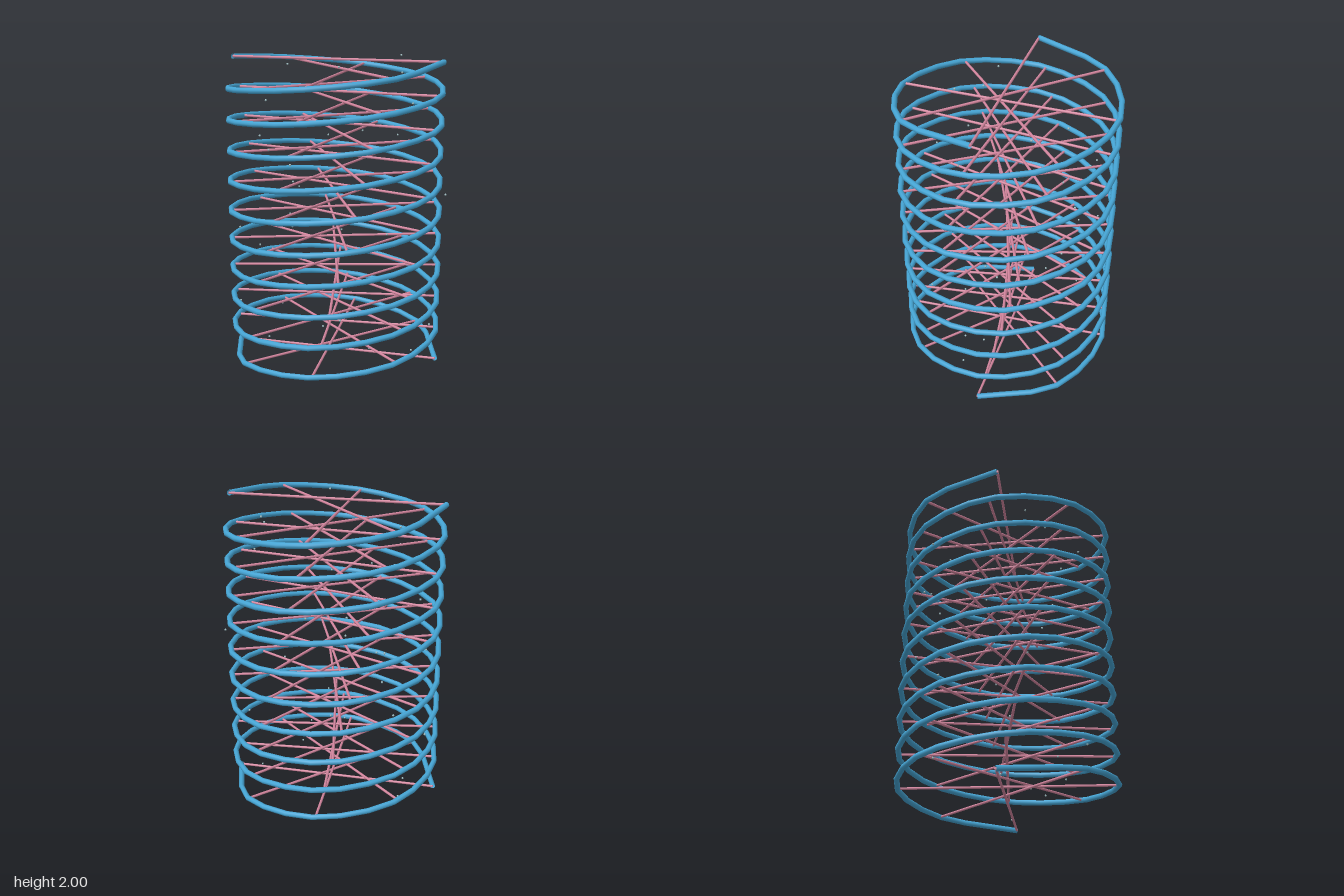
import * as THREE from 'three';

const RADIUS = 0.685, TURNS = 5, RUNGS = 40, BASE = 0.0175, RISE = 1.965;

// Point on a strand: u runs 0..1 up the helix, phase picks the strand
function helixPoint(u, phase) {
  const a = u * TURNS * Math.PI * 2 + phase;
  return new THREE.Vector3(RADIUS * Math.cos(a), BASE + RISE * u, -RADIUS * Math.sin(a));
}

export function createModel() {
  const model = new THREE.Group();
  model.name = 'doubleHelix';

  const strandBlue = new THREE.MeshStandardMaterial({ color: 0x46a6d6, side: THREE.DoubleSide });
  strandBlue.name = 'strandBlue';
  const rungPink = new THREE.MeshStandardMaterial({ color: 0xd4869f });
  rungPink.name = 'rungPink';
  const paleGrey = new THREE.MeshStandardMaterial({ color: 0x9fbcc0 });
  paleGrey.name = 'paleGrey';

  // Two opposite strands
  [0, Math.PI].forEach((phase, i) => {
    const points = [];
    for (let k = 0; k < RUNGS; k++) points.push(helixPoint(k / (RUNGS - 1), phase));
    const curve = new THREE.CatmullRomCurve3(points);
    const strand = new THREE.Mesh(new THREE.TubeGeometry(curve, 120, 0.018, 8), strandBlue);
    strand.name = i ? 'strandB' : 'strandA';
    model.add(strand);
  });

  // Level rungs crossing the axis from strand to strand
  const rungs = new THREE.Group();
  rungs.name = 'rungs';
  const rungGeometry = new THREE.CylinderGeometry(0.0085, 0.0085, RADIUS * 2, 8);
  rungGeometry.rotateZ(Math.PI / 2);
  for (let k = 0; k < RUNGS; k++) {
    const u = k / (RUNGS - 1);
    const rung = new THREE.Mesh(rungGeometry, rungPink);
    rung.name = 'rung';
    rung.position.y = BASE + RISE * u;
    rung.rotation.y = u * TURNS * Math.PI * 2;
    rungs.add(rung);
  }
  model.add(rungs);

  // Tiny drifting particles
  const spots = [
    [0.16, 0.435, 0.5], [0.7, 1.11, -0.15], [0.31, 1.42, -0.51], [-0.57, 0.915, 0.26],
    [-0.25, 0.91, 0.15], [-0.4, 1.01, -0.5], [-0.65, 0.33, 0.075], [0.255, 0.235, 0.355],
    [-0.14, 1.41, 0.53], [-0.18, 1.4, -0.49], [0.09, 1.42, 0.3], [0.04, 1.42, -0.605],
    [-0.34, 1.57, 0.49], [0.465, 1.69, -0.2], [-0.37, 1.75, 0.28], [-0.6, 1.52, -0.41],
    [-0.16, 1.26, -0.43], [-0.5, 0.15, -0.38], [0.655, 0.3, 0.1], [0.6, 0.47, -0.025],
    [-0.05, 0.755, -0.36], [-0.03, 0.62, -0.26], [0.355, 0.87, 0.04], [0.335, 1.97, -0.455],
    [0.38, 1.88, -0.255], [-0.27, 1.96, 0.145], [-0.325, 1.46, 0.375], [0.1, 1.97, 0.3],
    [-0.56, 1.2, -0.46], [-0.65, 0.6, -0.34], [-0.475, 0.05, 0.005], [0.285, 0.14, 0.22],
    [0.52, 0.05, -0.02], [0, 0.305, 0.315], [-0.375, 1.1, -0.275], [-0.475, 0.8, -0.51],
  ];
  const particles = new THREE.Group();
  particles.name = 'particles';
  const dot = new THREE.SphereGeometry(0.007, 8, 6);
  for (const [x, y, z] of spots) {
    const particle = new THREE.Mesh(dot, paleGrey);
    particle.name = 'particle';
    particle.position.set(x, y, z);
    particles.add(particle);
  }
  model.add(particles);

  return model;
}
